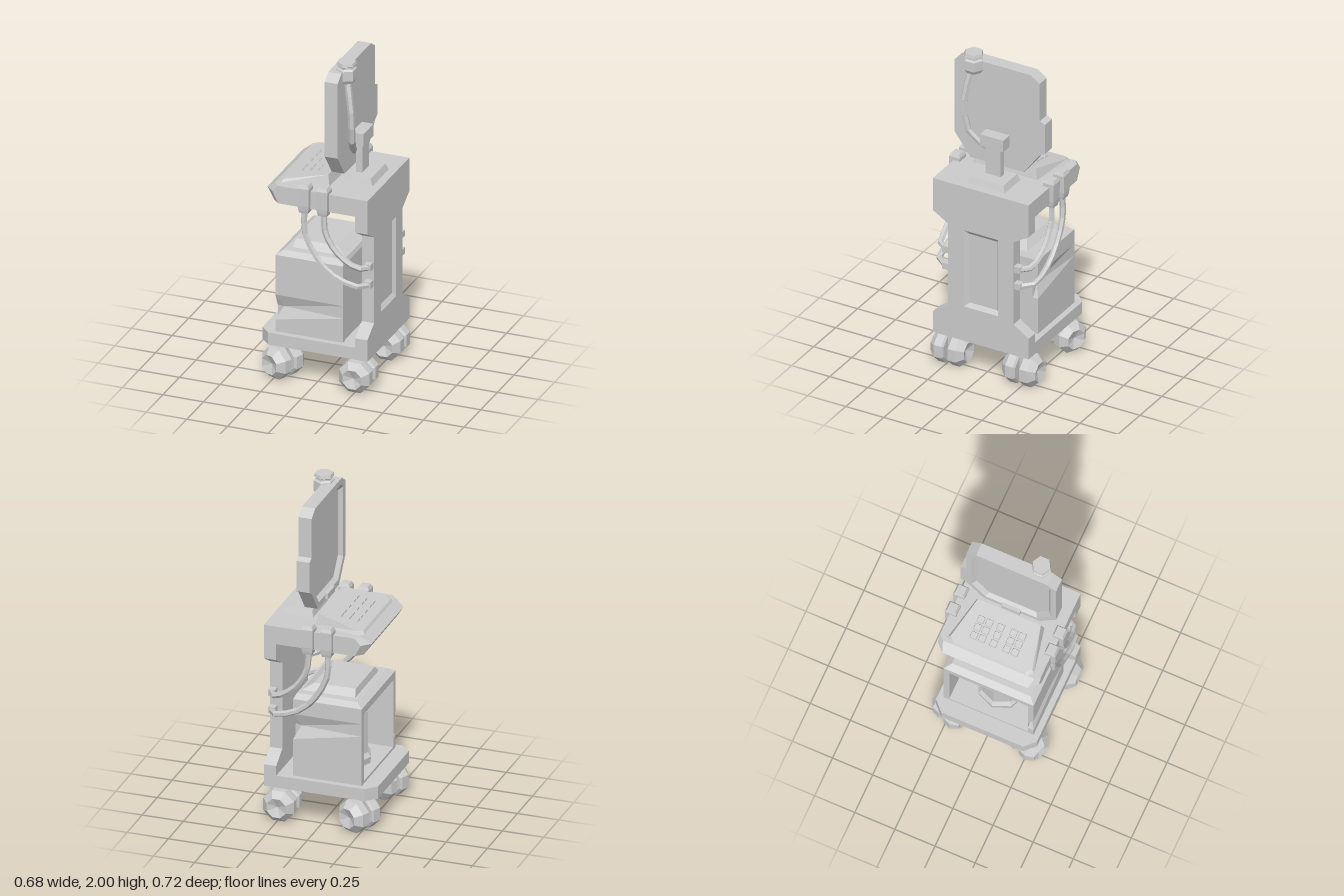
import * as THREE from 'three';

const mat = new THREE.MeshStandardMaterial({ color: 0xcccccc, flatShading: true, side: THREE.DoubleSide });

export function createModel() {
  const root = new THREE.Group();

  const add = (name, geo, x = 0, y = 0, z = 0, parent = root) => {
    const m = new THREE.Mesh(geo, mat);
    m.name = name;
    m.position.set(x, y, z);
    parent.add(m);
    return m;
  };
  // box from min/max ranges
  const box = (name, [x0, x1], [y0, y1], [z0, z1], parent = root) =>
    add(name, new THREE.BoxGeometry(x1 - x0, y1 - y0, z1 - z0), (x0 + x1) / 2, (y0 + y1) / 2, (z0 + z1) / 2, parent);

  // flat-sided solid through rings of [x, y, z], counter-clockwise from above
  const loft = (rings, caps = true) => {
    const p = [], n = rings[0].length;
    const tri = (a, b, c) => p.push(...a, ...b, ...c);
    for (let r = 0; r + 1 < rings.length; r++) {
      for (let i = 0; i < n; i++) {
        const j = (i + 1) % n, lo = rings[r], hi = rings[r + 1];
        tri(lo[i], lo[j], hi[j]);
        tri(lo[i], hi[j], hi[i]);
      }
    }
    if (caps) {
      const lo = rings[0], hi = rings[rings.length - 1];
      for (let i = 1; i + 1 < n; i++) {
        tri(lo[0], lo[i + 1], lo[i]);
        tri(hi[0], hi[i], hi[i + 1]);
      }
    }
    const g = new THREE.BufferGeometry();
    g.setAttribute('position', new THREE.Float32BufferAttribute(p, 3));
    g.computeVertexNormals();
    return g;
  };
  const rect = (x0, x1, z0, z1, y) => [[x1, y, z1], [x1, y, z0], [x0, y, z0], [x0, y, z1]];

  // plate with a [z, y] outline between two x positions, optionally with a hole
  const plate = (pts, x0, x1, hole) => {
    const v = (a) => a.map(([z, y]) => new THREE.Vector2(-z, y));
    const s = new THREE.Shape(v(pts));
    if (hole) s.holes.push(new THREE.Path(v(hole)));
    return new THREE.ExtrudeGeometry(s, { depth: x1 - x0, bevelEnabled: false }).rotateY(Math.PI / 2).translate(x0, 0, 0);
  };
  const at = (pts, x) => pts.map(([z, y]) => [x, y, z]);

  // base with cut front corners
  const baseRing = (y) => [[0.33, y, 0.315], [0.33, y, -0.315], [-0.28, y, -0.315], [-0.34, y, -0.255], [-0.34, y, 0.255], [-0.28, y, 0.315]];
  add('base', loft([baseRing(0.21), baseRing(0.285)]));

  // waisted rear column with a bevelled recess
  const half = [[0.315, 0.285], [0.315, 0.345], [0.215, 0.41], [0.215, 0.95], [0.315, 1.01], [0.315, 1.11]];
  const column = [...half, ...half.map(([z, y]) => [-z, y]).reverse()];
  const recess = [[0.11, 0.435], [0.11, 0.935], [-0.115, 0.935], [-0.115, 0.435]];
  const recessIn = [[0.085, 0.46], [0.085, 0.91], [-0.1, 0.91], [-0.1, 0.46]];
  add('column', plate(column, 0.255, 0.31));
  add('columnBack', plate(column, 0.31, 0.33, recess));
  add('columnRecess', loft([at(recess, 0.33), at(recessIn, 0.31)], false));

  // worktop with a pointed front edge
  const topRing = (y, f, c) => [[0.33, y, 0.315], [0.33, y, -0.315], [f + c, y, -0.315], [f, y, -0.315 + c], [f, y, 0.315 - c], [f + c, y, 0.315]];
  add('worktop', loft([topRing(1.11, -0.26, 0.04), topRing(1.18, -0.305, 0.05), topRing(1.22, -0.25, 0.03)]));

  // sloping keyboard and its keys
  const kb = (f, b, zf, zb, y) => [[b, y(b), zb], [b, y(b), -zb], [f + 0.03, y(f + 0.03), -zf], [f, y(f), 0.03 - zf],
    [f, y(f), zf - 0.03], [f + 0.03, y(f + 0.03), zf]];
  const slope = (x) => 1.235 + 0.179 * (x + 0.24);
  add('keyboard', loft([kb(-0.25, 0.055, 0.27, 0.212, () => 1.22), kb(-0.24, 0.04, 0.253, 0.196, slope)]));
  for (const x of [-0.159, -0.109, -0.061]) {
    for (const z of [-0.131, -0.08, -0.009, 0.073, 0.125]) {
      const key = add('key', loft([rect(-0.021, 0.021, -0.021, 0.021, 0), rect(-0.018, 0.018, -0.018, 0.018, 0.009)]), x, slope(x), z);
      key.rotation.z = 0.177;
    }
  }

  // monitor with a recessed screen
  const outline = [[0.23, 1.95], [-0.215, 1.95], [-0.275, 1.91], [-0.275, 1.665], [-0.31, 1.65], [-0.31, 1.46],
    [-0.275, 1.44], [-0.17, 1.3], [0.18, 1.3], [0.285, 1.44], [0.285, 1.91]];
  const screen = [[0.21, 1.915], [-0.2, 1.915], [-0.242, 1.885], [-0.242, 1.45], [-0.155, 1.335], [0.165, 1.335], [0.25, 1.45], [0.25, 1.885]];
  const screenIn = screen.map(([z, y]) => [z * 0.92, 1.625 + (y - 1.625) * 0.93]);
  add('monitorBack', plate(outline, 0.08, 0.135));
  add('monitorFrame', plate(outline, 0.055, 0.08, screen));
  add('screenBevel', loft([at(screen, 0.055), at(screenIn, 0.08)], false));
  box('monitorTab', [0.038, 0.06], [1.31, 1.345], [-0.05, 0.065]);

  // monitor stand
  add('standFoot', loft([rect(0.1, 0.28, -0.128, 0.122, 1.22), rect(0.11, 0.265, -0.112, 0.108, 1.26)]));
  box('standPost', [0.15, 0.19], [1.25, 1.46], [-0.05, 0.05]);
  box('standHead', [0.125, 0.207], [1.44, 1.515], [-0.077, 0.075]);

  const tube = (name, pts, r, segs, parent = root) => add(name, new THREE.TubeGeometry(
    new THREE.CatmullRomCurve3(pts.map((p) => new THREE.Vector3(...p))), segs, r, 6), 0, 0, 0, parent);

  // hexagonal knob above the monitor, on a bent stalk
  const knob = [[0, 1.872], [0.045, 1.872], [0.06, 1.895], [0.06, 1.955], [0.048, 1.965], [0.048, 1.975], [0.06, 1.982], [0.055, 2], [0, 2]];
  add('knob', new THREE.LatheGeometry(knob.map(([r, y]) => new THREE.Vector2(r, y)), 6), 0.137, 0, 0.157);
  tube('stalk', [[0.145, 1.89, 0.165], [0.18, 1.7, 0.195], [0.175, 1.49, 0.165], [0.13, 1.38, 0.03]], 0.02, 6);

  // holders, hanging cables and plugs on both sides
  for (const s of [1, -1]) {
    const side = new THREE.Group();
    side.name = 'cableSide';
    side.scale.z = s;
    root.add(side);
    for (const x of [-0.055, 0.06]) {
      const ring = (h, y) => rect(x - h, x + h, 0.309 - h, 0.309 + h, y);
      add('holder', loft([ring(0.026, 1.085), ring(0.03, 1.1), ring(0.034, 1.13), ring(0.035, 1.24), ring(0.025, 1.26)]), 0, 0, 0, side);
    }
    tube('longCable', [[-0.055, 1.1, 0.31], [-0.058, 0.97, 0.316], [0.02, 0.81, 0.318], [0.125, 0.715, 0.318],
      [0.27, 0.667, 0.308], [0.305, 0.66, 0.25]], 0.018, 9, side);
    tube('shortCable', [[0.06, 1.1, 0.31], [0.07, 0.98, 0.314], [0.13, 0.875, 0.314], [0.22, 0.8, 0.308],
      [0.285, 0.775, 0.29], [0.305, 0.77, 0.25]], 0.018, 9, side);
    for (const y of [0.66, 0.77]) box('plug', [0.285, 0.325], [y - 0.02, y + 0.02], [0.21, 0.258], side);
  }

  // open-fronted cabinet; each side wall has one dented edge
  for (const s of [1, -1]) {
    const wall = new THREE.BoxGeometry(0.415, 0.47, 0.035, 1, 6, 1);
    const p = wall.attributes.position;
    for (let i = 0; i < p.count; i++) {
      const hit = s > 0 ? Math.abs(p.getY(i) + 0.078) < 0.01 : Math.abs(p.getY(i) - 0.078) < 0.01;
      if (hit && p.getX(i) * s < 0 && p.getZ(i) * s > 0) {
        p.setX(i, p.getX(i) + 0.04 * s);
        p.setZ(i, p.getZ(i) - 0.03 * s);
      }
    }
    add('cabinetWall', wall, -0.0425, 0.515, 0.2625 * s);
  }
  box('cabinetBack', [0.13, 0.16], [0.285, 0.75], [-0.25, 0.25]);
  box('cabinetFloor', [-0.25, 0.16], [0.28, 0.3], [-0.25, 0.25]);
  add('cabinetTop', loft([rect(-0.25, 0.165, -0.28, 0.28, 0.72), rect(-0.25, 0.165, -0.28, 0.28, 0.765), rect(-0.212, 0.155, -0.245, 0.245, 0.79)]));
  add('cabinetLid', loft([rect(-0.18, 0.15, -0.2, 0.2, 0.785), rect(-0.17, 0.08, -0.16, 0.16, 0.83)]));

  // canister inside the cabinet
  const can = [[0, 0.3], [0.14, 0.3], [0.145, 0.34], [0.125, 0.365], [0.125, 0.62], [0.07, 0.68], [0.07, 0.72]];
  add('canister', new THREE.LatheGeometry(can.map(([r, y]) => new THREE.Vector2(r, y)), 8), -0.06, 0, 0);

  // twin-wheel casters, the front pair swivelled
  const rim = [[0, -0.085], [0.062, -0.11], [0.1, -0.07], [0.1, -0.022], [0.085, -0.012], [0.035, -0.012]];
  const profile = [...rim, ...rim.map(([r, y]) => [r, -y]).reverse()].map(([r, y]) => new THREE.Vector2(r, y));
  const wheels = new THREE.LatheGeometry(profile, 8, Math.PI / 8).rotateX(Math.PI / 2);
  for (const [x, turn] of [[-0.222, -0.41], [0.245, 0]]) {
    for (const z of [0.235, -0.235]) {
      const caster = new THREE.Group();
      caster.name = 'caster';
      caster.position.set(x, 0.0925, z);
      caster.rotation.y = turn;
      root.add(caster);
      add('twinWheel', wheels, 0, 0, 0, caster);
      box('casterStem', [-0.028, 0.028], [0, 0.12], [-0.016, 0.016], caster);
    }
  }
  return root;
}
